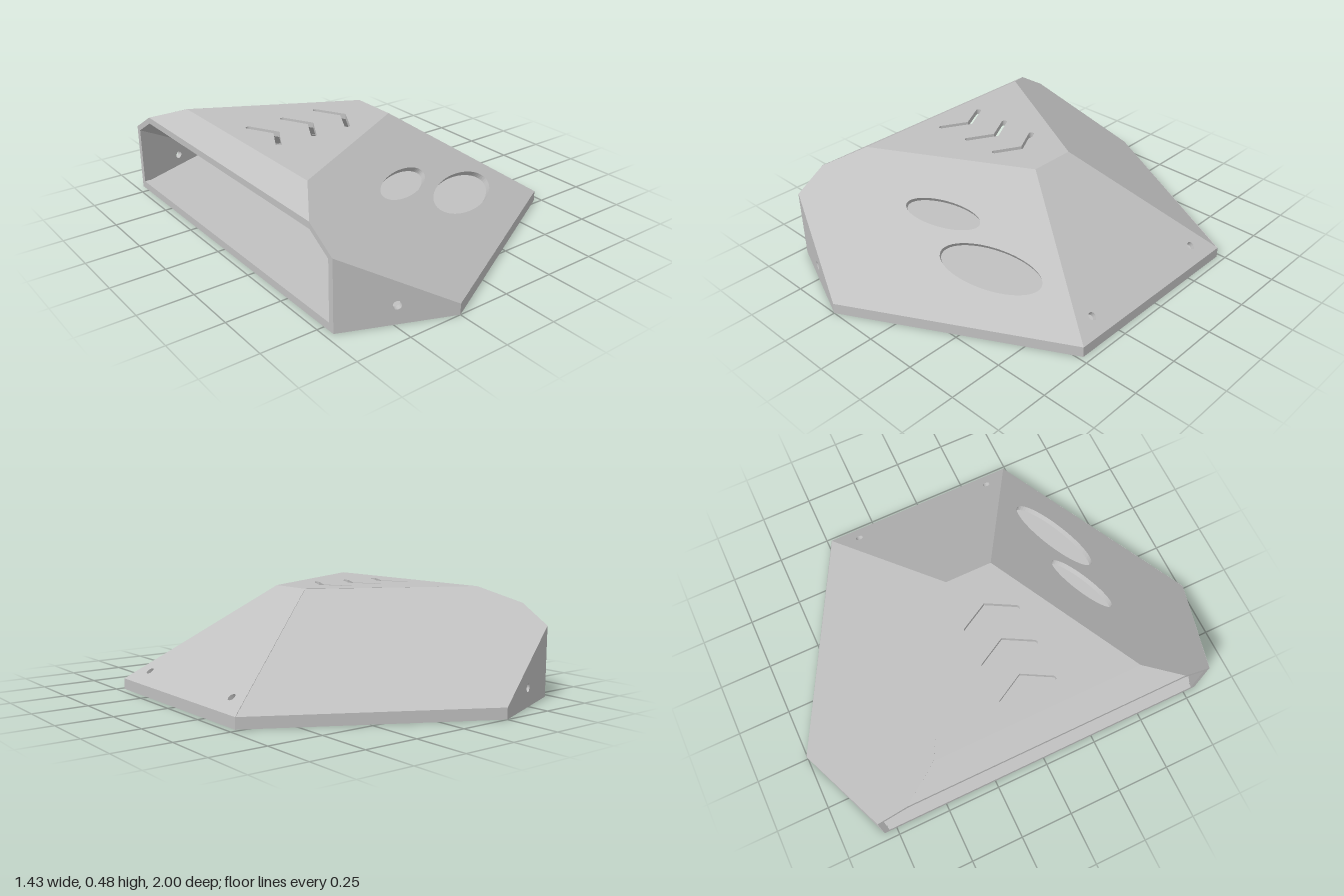
import * as THREE from 'three';

const T = 0.025; // wall thickness
const V = (x, y, z) => new THREE.Vector3(x, y, z);
const flip = (p) => V(p.x, p.y, -p.z);

// Corners of the +z half: outer point and matching inner (mitred) point
const corner = (o, i) => ({ o: V(...o), i: V(...i) });
const mirrorCorner = (c) => ({ o: flip(c.o), i: flip(c.i) });
const A0 = corner([0.717, 0, 0.48], [0.69, 0, 0.465]);
const A = corner([0.717, 0.05, 0.48], [0.69, 0.037, 0.465]);
const B0 = corner([-0.25, 0, 1], [-0.25, 0, 0.972]);
const B = corner([-0.25, 0.05, 1], [-0.25, 0.037, 0.972]);
const C0 = corner([-0.717, 0, 0.81], [-0.717, 0, 0.783]);
const C = corner([-0.717, 0.322, 0.81], [-0.717, 0.309, 0.783]);
const D = corner([-0.717, 0.411, 0.665], [-0.717, 0.381, 0.665]);
const E = corner([-0.603, 0.48, 0.49], [-0.598, 0.455, 0.481]);
const F = corner([0.105, 0.48, 0.11], [0.097, 0.455, 0.105]);
const [A0m, Am, Dm, Em, Fm] = [A0, A, D, E, F].map(mirrorCorner);

// Ellipse outline in the plane spanned by u and v
function ellipse(c, u, v, a, b = a, turn = 0, n = 56) {
  return Array.from({ length: n }, (_, k) => {
    const t = (k / n) * Math.PI * 2;
    const p = a * Math.cos(t), q = b * Math.sin(t);
    return c.clone()
      .addScaledVector(u, p * Math.cos(turn) - q * Math.sin(turn))
      .addScaledVector(v, p * Math.sin(turn) + q * Math.cos(turn));
  });
}

// Chevron slot with round ends, pointing to +x
function chevron(tipX) {
  const r = 0.0125, half = [];
  const start = Math.atan2(0.48, 0.877);
  for (let k = 0; k <= 8; k++) {
    const t = start + (k / 8) * Math.PI;
    half.push(V(tipX - 0.081 + r * Math.cos(t), 0.48, 0.122 + r * Math.sin(t)));
  }
  const other = half.map(flip).reverse();
  return [V(tipX, 0.48, 0), ...half, V(tipX - 0.029, 0.48, 0), ...other];
}

// Flat slab with mitred edges and cut-through holes
function slab(name, corners, material, holes = [], depth = T) {
  const pts = corners.map((c) => c.o);
  const u = pts[1].clone().sub(pts[0]).normalize();
  const n = u.clone().cross(pts[2].clone().sub(pts[0])).normalize();
  const v = n.clone().cross(u);
  const to2D = (p) => {
    const d = p.clone().sub(pts[0]);
    return new THREE.Vector2(d.dot(u), d.dot(v));
  };
  const outline = pts.map(to2D);
  const shape = new THREE.Shape(outline);
  for (const h of holes) shape.holes.push(new THREE.Path(h.map(to2D)));
  const geo = new THREE.ExtrudeGeometry(shape, { depth, bevelEnabled: false, steps: 1 });
  geo.translate(0, 0, -depth);
  const pos = geo.attributes.position;
  const p = V(0, 0, 0);
  for (let k = 0; k < pos.count; k++) {
    p.fromBufferAttribute(pos, k);
    const hit = p.z < -depth / 2
      ? outline.findIndex((q) => Math.hypot(q.x - p.x, q.y - p.y) < 1e-4) : -1;
    if (hit >= 0) p.copy(corners[hit].i);
    else p.copy(pts[0].clone().addScaledVector(u, p.x).addScaledVector(v, p.y).addScaledVector(n, p.z));
    pos.setXYZ(k, p.x, p.y, p.z);
  }
  geo.computeVertexNormals();
  const mesh = new THREE.Mesh(geo, material);
  mesh.name = name;
  return mesh;
}

export function createModel() {
  const group = new THREE.Group();
  group.name = 'wedgeHousing';
  const grey = new THREE.MeshStandardMaterial({ color: 0xc0c0c0 });
  grey.name = 'light grey';

  // Sloped panels, rims and end walls, mirrored across z
  const along = V(-0.88, 0, 0.474), down = V(0.388, -0.573, 0.72);
  const sides = [
    ['SlopePanel', [A, F, E, D, C, B], [
      ellipse(V(0.21, 0.198, 0.502), along, down, 0.238, 0.093, -0.173),
      ellipse(V(-0.109, 0.325, 0.477), along, down, 0.178, 0.062, -0.13),
    ]],
    ['Rim', [A0, A, B, B0], []],
    ['EndWall', [B0, B, C, C0], [
      ellipse(V(-0.487, 0.085, 0.904), V(-0.927, 0, -0.375), V(0, 1, 0), 0.019, 0.019, 0, 20),
    ]],
  ];
  for (const [name, corners, holes] of sides) {
    group.add(slab('left' + name, corners, grey, holes));
    group.add(slab('right' + name, corners.map(mirrorCorner).reverse(), grey,
      holes.map((h) => h.map(flip))));
  }

  // Roof with chevron slots, and its bevel above the open end
  group.add(slab('roof', [Fm, Em, E, F], grey, [-0.416, -0.237, -0.058].map(chevron)));
  group.add(slab('roofBevel', [Em, Dm, D, E], grey));

  // Front slope with two screw holes, and the rim below it
  const screwHoles = [-0.35, 0.35].map((z) =>
    ellipse(V(0.65, 0.097, z), V(0, 0, 1), V(-0.817, 0.576, 0), 0.018, 0.018, 0, 20));
  group.add(slab('frontSlope', [Am, Fm, F, A], grey, screwHoles));
  group.add(slab('frontRim', [A0m, Am, A, A0], grey));

  // Recessed floor plate with mounting holes
  const plate = [[0.688, 0.463], [-0.25, 0.969], [-0.694, 0.79]]
    .map(([x, z]) => corner([x, 0.006, z], [x, 0.03, z]));
  const spots = [
    [0.577, 0.35, 0.03], [0.577, -0.35, 0.03], [0.475, 0.27, 0.018], [0.475, -0.27, 0.018],
    [0.47, 0, 0.018], [0.035, 0, 0.018], [-0.405, 0, 0.018],
    [-0.4, 0.415, 0.018], [-0.4, -0.415, 0.018],
  ];
  group.add(slab('floor', [...plate, ...plate.map(mirrorCorner).reverse()], grey,
    spots.map(([x, z, r]) => ellipse(V(x, 0.006, z), V(1, 0, 0), V(0, 0, 1), r, r, 0, 20)), 0.024));

  // Sill across the open end
  const sill = new THREE.Mesh(new THREE.BoxGeometry(0.024, 0.036, 1.57), grey);
  sill.position.set(-0.705, 0.018, 0);
  sill.name = 'openingSill';
  group.add(sill);

  return group;
}
